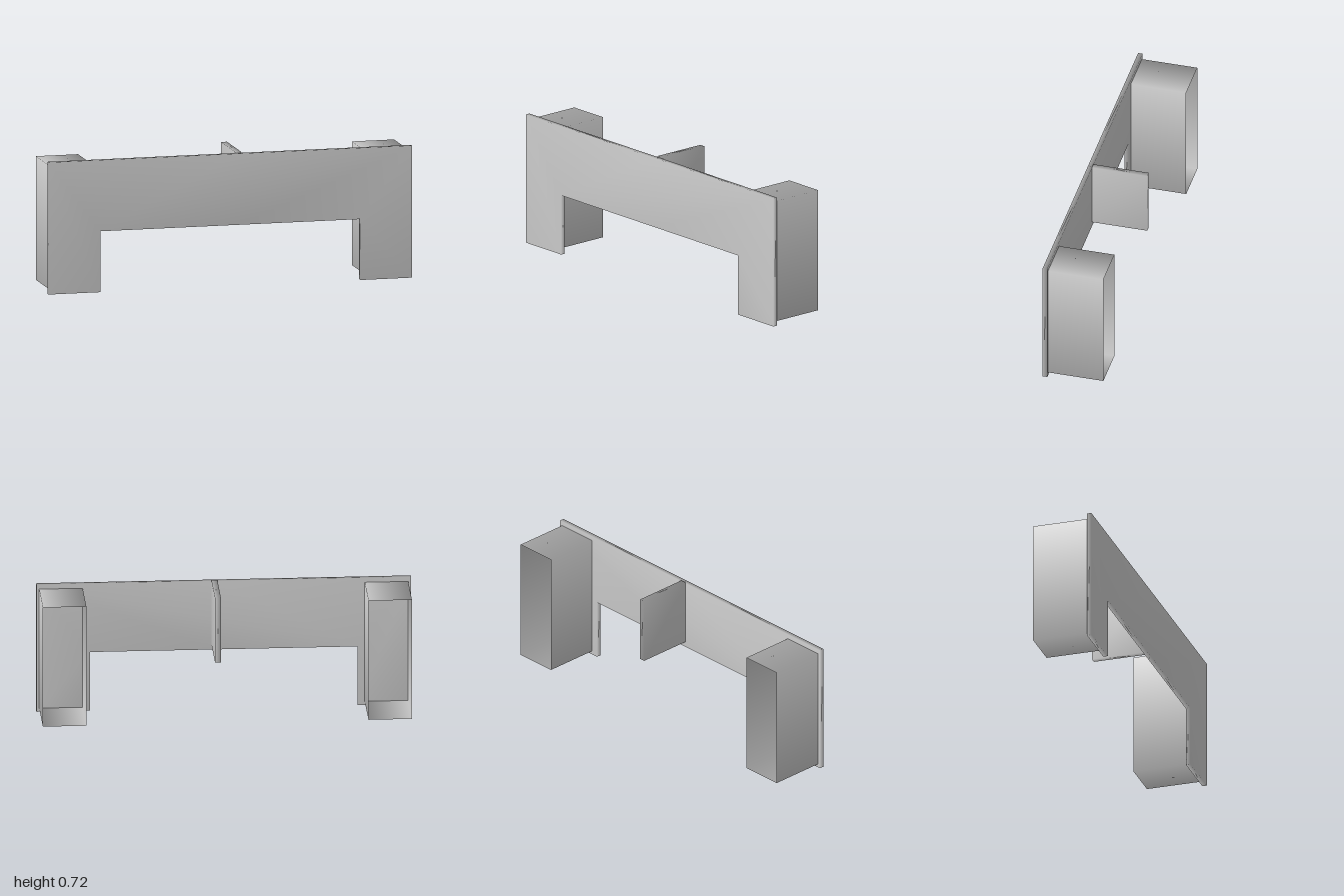
import * as THREE from 'three';
import { mergeVertices } from 'three/addons/utils/BufferGeometryUtils.js';

const material = new THREE.MeshStandardMaterial({ color: 0xcccccc, side: THREE.DoubleSide });

// Weld shared corners so that shading flows around the edges
function soften(geometry) {
  geometry.deleteAttribute('normal');
  geometry.deleteAttribute('uv');
  const welded = mergeVertices(geometry, 1e-4);
  welded.computeVertexNormals();
  return welded;
}

function addPart(group, name, geometry, x = 0, y = 0, z = 0) {
  const mesh = new THREE.Mesh(soften(geometry), material);
  mesh.name = name;
  mesh.position.set(x, y, z);
  group.add(mesh);
}

export function createModel() {
  const group = new THREE.Group();
  group.name = 'bracketPanel';

  const front = 0.165, panelBack = 0.14, back = -0.165;
  const ribX = 0.05;
  const depth = panelBack - back;
  const midZ = (panelBack + back) / 2;

  // Front panel: a wide plate with two short legs
  const outline = new THREE.Shape([
    [-1, 0], [-0.715, 0], [-0.715, 0.33], [ribX, 0.33], [0.715, 0.33],
    [0.715, 0], [1, 0], [1, 0.715], [ribX, 0.715], [-1, 0.715],
  ].map(([x, y]) => new THREE.Vector2(x, y)));
  addPart(group, 'frontPanel',
    new THREE.ExtrudeGeometry(outline, { depth: front - panelBack, bevelEnabled: false }),
    0, 0, panelBack);

  // Thin-walled rectangular sleeves behind the legs, open at both ends
  for (const [name, side] of [['leftSleeve', 1], ['rightSleeve', -1]]) {
    const sleeve = new THREE.BoxGeometry(0.232, 0.67, depth);
    sleeve.setIndex([...sleeve.index.array].slice(0, 24)); // keep the four walls only
    sleeve.clearGroups();
    addPart(group, name, sleeve, side * 0.869, 0.355, midZ);
  }

  // Upright rib near the middle
  addPart(group, 'centreRib', new THREE.BoxGeometry(0.032, 0.36, depth), ribX, 0.54, midZ);

  return group;
}
